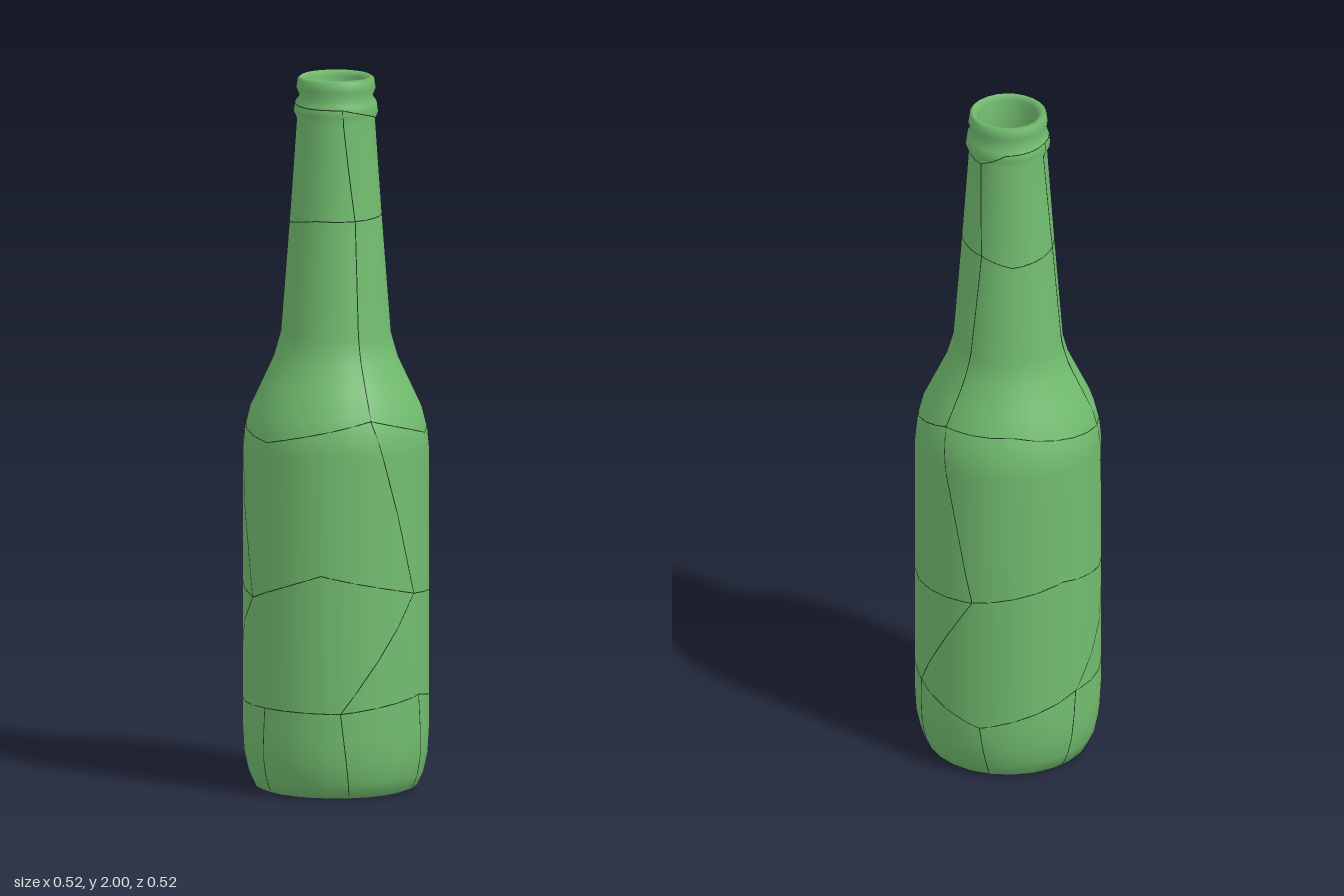
import * as THREE from 'three';

const SIDES = 24;

// Outer wall, bottom to lip: [radius, height]
const OUTER = [
  [0, 0.013], [0.205, 0], [0.225, 0.008], [0.242, 0.045], [0.254, 0.1], [0.258, 0.17],
  [0.258, 0.96], [0.253, 1.01], [0.238, 1.07], [0.205, 1.14], [0.172, 1.21], [0.152, 1.28],
  [0.126, 1.62], [0.108, 1.88], [0.117, 1.9], [0.113, 1.928],
  [0.101, 1.945], [0.11, 1.967], [0.106, 1.994], [0.097, 2],
];
// Inner wall, lip down to the floor
const INNER = [
  [0.083, 1.985], [0.083, 1.88], [0.122, 1.28], [0.21, 1.06], [0.23, 0.96], [0.23, 0.13], [0.2, 0.045], [0, 0.045],
];

function radiusAt(y) {
  const i = Math.max(2, OUTER.findIndex(([, top], k) => k > 1 && y <= top));
  const [r0, y0] = OUTER[i - 1], [r1, y1] = OUTER[i];
  return THREE.MathUtils.lerp(r0, r1, (y - y0) / (y1 - y0));
}

// Point on the faceted outer wall
function onWall(theta, y) {
  const step = (2 * Math.PI) / SIDES;
  const local = theta - (Math.floor(theta / step) + 0.5) * step;
  const r = radiusAt(y) * Math.cos(step / 2) / Math.cos(local);
  return new THREE.Vector3(r * Math.sin(theta), y, r * Math.cos(theta));
}

function seeded(seed) {
  return () => {
    seed = (seed * 16807) % 2147483647;
    return seed / 2147483647 - 0.5;
  };
}

function crack(points, material, name) {
  const path = new THREE.CurvePath();
  for (let i = 1; i < points.length; i++) path.add(new THREE.LineCurve3(points[i - 1], points[i]));
  const mesh = new THREE.Mesh(new THREE.TubeGeometry(path, points.length * 2, 0.0015, 4), material);
  mesh.name = name;
  return mesh;
}

export function createModel() {
  const model = new THREE.Group();
  model.name = 'crackedBottle';
  const glass = new THREE.MeshStandardMaterial({ color: 0x72bd6f });
  const dark = new THREE.MeshStandardMaterial({ color: 0x1f3a1f });
  const jitter = seeded(4711);

  // Hollow glass body
  const profile = [...OUTER, ...INNER].map(([r, y]) => new THREE.Vector2(r, y));
  const body = new THREE.Mesh(new THREE.LatheGeometry(profile, SIDES), glass);
  body.name = 'bottleBody';
  model.add(body);

  // Hairline cracks: zigzag rings round the wall, joined by slanting lines
  const wall = new THREE.Group();
  wall.name = 'wallCracks';
  const addWallCrack = ([a0, y0], [a1, y1]) => {
    const points = [];
    for (let k = 0; k <= 14; k++) {
      points.push(onWall(THREE.MathUtils.lerp(a0, a1, k / 14), THREE.MathUtils.lerp(y0, y1, k / 14)));
    }
    wall.add(crack(points, dark, 'wallCrack'));
  };
  const corners = 6;
  let below = null;
  for (const [height, spread] of [[0.22, 0.16], [0.59, 0.2], [1.03, 0.18], [1.59, 0.05], [1.9, 0.06]]) {
    const shift = jitter();
    const ring = [];
    for (let k = 0; k < corners; k++) {
      ring.push([(k + shift + 0.4 * jitter()) * 2 * Math.PI / corners, height + spread * jitter()]);
    }
    ring.forEach((corner, k) => {
      const next = k + 1 < corners ? ring[k + 1] : [ring[0][0] + 2 * Math.PI, ring[0][1]];
      addWallCrack(corner, next);
      if (!below) addWallCrack([corner[0] + 0.3 * jitter(), 0.01], corner);
      else if (k % 2 === 0) addWallCrack(below[k], corner);
    });
    below = ring;
  }
  model.add(wall);

  // Cracks spreading over the floor, inside and underneath
  const floor = new THREE.Group();
  floor.name = 'floorCracks';
  for (let k = 0; k < 6; k++) {
    const angle = (k + 0.5 * jitter()) * Math.PI / 3;
    for (const y of [0.045, 0.011]) {
      floor.add(crack([
        new THREE.Vector3(0, y, 0),
        new THREE.Vector3(0.19 * Math.sin(angle), y === 0.045 ? y : 0.001, 0.19 * Math.cos(angle)),
      ], dark, 'floorCrack'));
    }
  }
  model.add(floor);
  return model;
}
